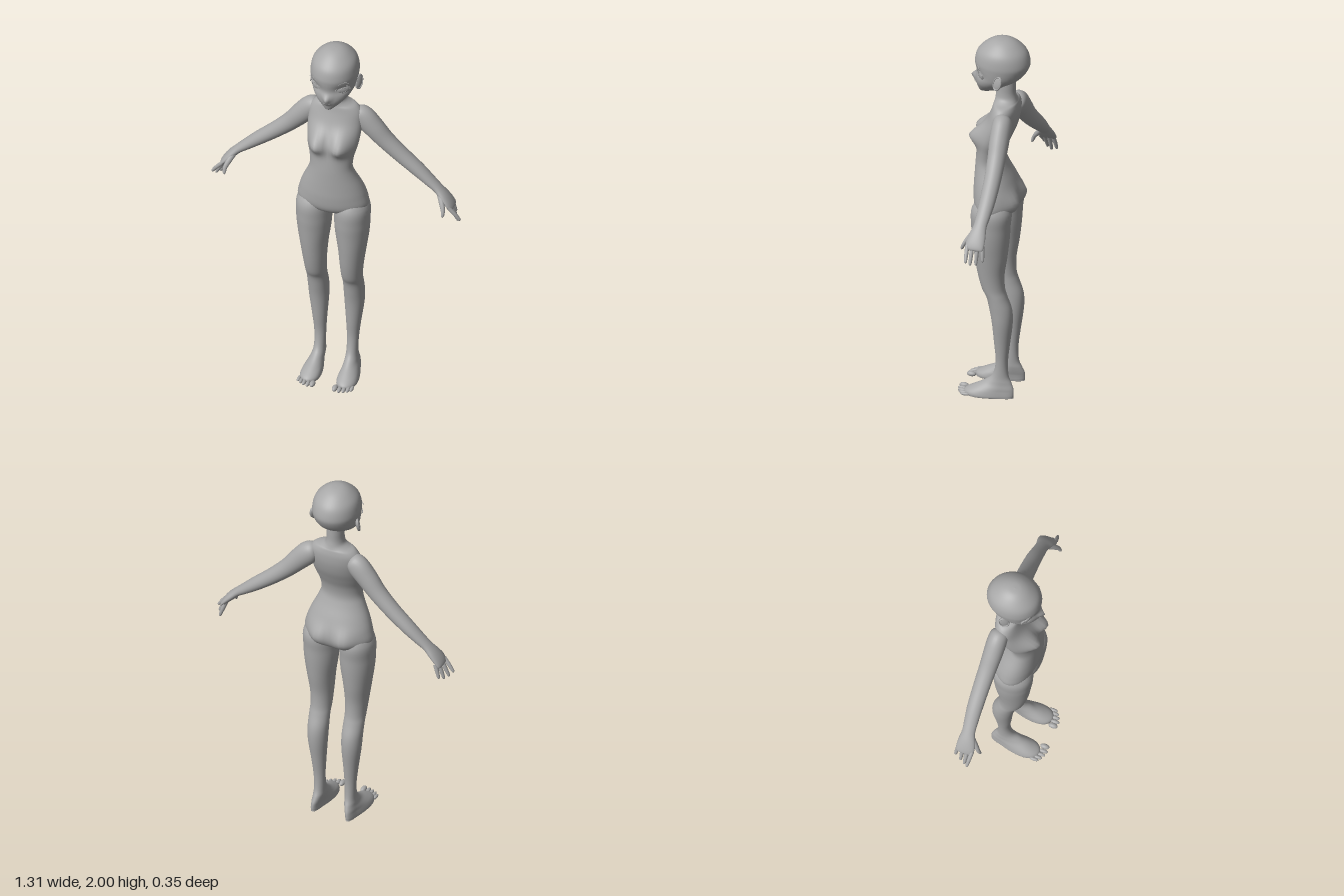
import * as THREE from 'three';

const SIDES = 40;
const bump = (d, w) => Math.exp(-(d * d) / (w * w));

// Smooth interpolation through rows of key numbers
function refine(keys, steps) {
  const rows = [];
  const at = (i) => keys[Math.min(keys.length - 1, Math.max(0, i))];
  for (let i = 0; i < keys.length - 1; i++) {
    for (let k = 0; k < steps; k++) {
      const t = k / steps;
      rows.push(at(i).map((b, n) => {
        const a = at(i - 1)[n], c = at(i + 1)[n], d = at(i + 2)[n];
        return 0.5 * (2 * b + (c - a) * t + (2 * a - 5 * b + 4 * c - d) * t * t + (3 * b - a - 3 * c + d) * t ** 3);
      }));
    }
  }
  rows.push(keys[keys.length - 1]);
  return rows;
}

// Closed skin over rings of points
function skin(rings) {
  const n = rings[0].length, pos = [], index = [];
  rings.forEach((ring) => ring.forEach((p) => pos.push(p[0], p[1], p[2])));
  for (let i = 0; i < rings.length - 1; i++) {
    for (let j = 0; j < n; j++) {
      const k = (j + 1) % n, a = i * n + j, b = i * n + k, c = a + n, d = b + n;
      index.push(a, b, c, b, d, c);
    }
  }
  const g = new THREE.BufferGeometry();
  g.setAttribute('position', new THREE.Float32BufferAttribute(pos, 3));
  g.setIndex(index);
  g.computeVertexNormals();
  return g;
}

// Level sections listed from top to bottom: [y, centreX, radiusX, frontZ, backZ]
function loft(keys, shape = (p) => p) {
  return skin(refine(keys, 5).map(([y, cx, rx, zf, zb]) => Array.from({ length: SIDES }, (_, j) => {
    const a = (j / SIDES) * Math.PI * 2, s = Math.sin(a);
    return shape([cx + rx * Math.cos(a), y, (zf + zb) / 2 + ((zf - zb) / 2) * s], s, cx);
  })));
}

// Limb along a path: [x, y, z, thickness, widthZ]; side is 1 or -1
function limb(keys, side, sides = 20) {
  const rows = refine(keys.map(([x, ...r]) => [x * side, ...r]), 5);
  return skin(rows.map(([x, y, z, rn, rz], i) => {
    const p = rows[Math.max(0, i - 1)], q = rows[Math.min(rows.length - 1, i + 1)];
    const l = Math.hypot(q[0] - p[0], q[1] - p[1]) || 1;
    const ux = -(q[1] - p[1]) / l, uy = (q[0] - p[0]) / l;
    return Array.from({ length: sides }, (_, j) => {
      const a = (j / sides) * Math.PI * 2, c = Math.cos(a) * rn;
      return [x + ux * c, y + uy * c, z + rz * Math.sin(a)];
    });
  }));
}

export function createModel() {
  const model = new THREE.Group();
  const grey = new THREE.MeshStandardMaterial({ color: 0xa8a8a8 });
  grey.name = 'plain grey';
  const add = (name, geometry, parent = model) => {
    const m = new THREE.Mesh(geometry, grey);
    m.name = name;
    parent.add(m);
    return m;
  };
  const ball = (name, r, p, parent = model) => {
    const m = add(name, new THREE.SphereGeometry(1, 20, 14), parent);
    m.scale.set(...r);
    m.position.set(...p);
    return m;
  };

  // Head with nose, lips and eye sockets
  add('head', loft([
    [2.0, 0, 0.001, -0.03, -0.032], [1.996, 0, 0.034, 0.003, -0.068], [1.98, 0, 0.066, 0.038, -0.105],
    [1.95, 0, 0.098, 0.075, -0.142], [1.92, 0, 0.114, 0.097, -0.163], [1.88, 0, 0.121, 0.107, -0.174],
    [1.85, 0, 0.12, 0.106, -0.17], [1.81, 0, 0.114, 0.1, -0.148], [1.78, 0, 0.104, 0.102, -0.118],
    [1.75, 0, 0.084, 0.102, -0.07], [1.72, 0, 0.056, 0.097, -0.03], [1.702, 0, 0.034, 0.092, 0.01],
    [1.69, 0, 0.016, 0.086, 0.045], [1.688, 0, 0.001, 0.07, 0.068],
  ], (p, s) => {
    if (s > 0) {
      const [x, y] = p;
      p[2] += 0.028 * bump(x, 0.016) * bump(y - 1.768, 0.022) + 0.008 * bump(x, 0.02) * bump(y - 1.74, 0.012)
        - 0.012 * bump(Math.abs(x) - 0.068, 0.032) * bump(y - 1.815, 0.028);
    }
    return p;
  }));
  ball('mouth', [0.018, 0.003, 0.005], [0, 1.742, 0.107]);

  // Neck and torso in one skin
  add('torso', loft([
    [1.78, 0, 0.044, -0.005, -0.1], [1.74, 0, 0.044, -0.002, -0.1], [1.7, 0, 0.045, 0, -0.1],
    [1.672, 0, 0.052, 0.002, -0.105], [1.655, 0, 0.075, 0.004, -0.11], [1.642, 0, 0.11, 0.007, -0.115],
    [1.61, 0, 0.135, 0.016, -0.12], [1.56, 0, 0.14, 0.035, -0.117], [1.5, 0, 0.138, 0.062, -0.102],
    [1.44, 0, 0.131, 0.083, -0.077], [1.38, 0, 0.116, 0.094, -0.053], [1.32, 0, 0.11, 0.1, -0.045],
    [1.27, 0, 0.124, 0.103, -0.06], [1.2, 0, 0.155, 0.106, -0.093], [1.14, 0, 0.175, 0.107, -0.113],
    [1.08, 0, 0.183, 0.1, -0.113], [1.045, 0, 0.14, 0.078, -0.1], [1.028, 0, 0.07, 0.04, -0.07],
    [1.025, 0, 0.002, -0.01, -0.02],
  ], (p, s) => {
    const x = Math.abs(p[0]), y = p[1];
    if (s > 0) p[2] += 0.055 * Math.min(1, s * 1.6) * bump(x - 0.062, 0.046) * bump(y - 1.457, y > 1.457 ? 0.06 : 0.047);
    else p[2] -= 0.032 * Math.min(1, -s * 1.6) * bump(x - 0.075, 0.055) * bump(y - 1.095, 0.055);
    return p;
  }));

  for (const side of [1, -1]) {
    const name = side > 0 ? 'left' : 'right';

    // Eye with iris, lash and brow
    const eye = new THREE.Group();
    eye.name = name + 'Eye';
    eye.position.set(0.069 * side, 1.815, 0.058);
    eye.rotation.y = 0.6 * side;
    model.add(eye);
    ball('eyeball', [0.037, 0.025, 0.012], [0, 0, 0], eye);
    add('iris', new THREE.TorusGeometry(0.016, 0.0015, 6, 24), eye).position.z = 0.0115;
    const lash = add('lash', new THREE.TorusGeometry(0.038, 0.003, 6, 24, Math.PI), eye);
    lash.scale.y = 0.68;
    lash.position.z = 0.008;
    const brow = add('brow', new THREE.TorusGeometry(0.05, 0.002, 6, 16, 1.2), eye);
    brow.rotation.z = Math.PI / 2 - 0.6;
    brow.position.set(0, 0, 0.018);

    // Ear with raised rim
    const ear = new THREE.Group();
    ear.name = name + 'Ear';
    ear.position.set(0.12 * side, 1.803, -0.045);
    ear.rotation.set(-0.35, -0.45 * side, 0);
    model.add(ear);
    ball('earShell', [0.009, 0.04, 0.025], [0, 0, 0], ear);
    const rim = add('earRim', new THREE.TorusGeometry(0.036, 0.005, 8, 28), ear);
    rim.rotation.y = Math.PI / 2;
    rim.scale.x = 0.62;
    rim.position.x = 0.004 * side;

    // Arm and palm
    add(name + 'Arm', limb([
      [0.085, 1.6, -0.065, 0.002, 0.002], [0.1, 1.595, -0.068, 0.04, 0.04], [0.135, 1.572, -0.072, 0.058, 0.05],
      [0.19, 1.513, -0.075, 0.055, 0.05], [0.25, 1.445, -0.08, 0.047, 0.046], [0.33, 1.37, -0.085, 0.041, 0.043],
      [0.42, 1.295, -0.087, 0.035, 0.04], [0.48, 1.245, -0.085, 0.028, 0.036], [0.525, 1.208, -0.082, 0.022, 0.034],
      [0.56, 1.172, -0.078, 0.021, 0.044], [0.588, 1.14, -0.076, 0.017, 0.048], [0.605, 1.117, -0.077, 0.011, 0.042],
      [0.608, 1.112, -0.077, 0.001, 0.02],
    ], side, 28));

    // Fingers: [baseZ, tipX, tipY, tipZ]
    [[-0.038, 0.654, 1.06, -0.046], [-0.063, 0.638, 1.042, -0.065], [-0.088, 0.622, 1.038, -0.09],
      [-0.112, 0.608, 1.055, -0.122]].forEach(([z, tx, ty, tz], i) => {
      const bx = 0.594 - i * 0.004, mix = (a, b, t) => a + (b - a) * t;
      const at = (t, r) => [mix(bx, tx, t), mix(1.132, ty, t) + 0.012 * t * (1 - t), mix(z, tz, t), r, r];
      add(name + 'Finger' + (i + 1), limb([at(0, 0.011), at(0.5, 0.0105), at(0.88, 0.008), at(0.97, 0.005), at(1, 0.0005)], side, 12));
    });
    add(name + 'Thumb', limb([
      [0.54, 1.19, -0.06, 0.014, 0.016], [0.56, 1.155, -0.034, 0.014, 0.015], [0.573, 1.125, -0.014, 0.011, 0.011],
      [0.574, 1.1, -0.004, 0.008, 0.008], [0.573, 1.09, -0.001, 0.0005, 0.0005],
    ], side, 12));

    // Leg and foot; the foot widens towards the toes
    add(name + 'Leg', loft([
      [1.15, 0.095, 0.04, 0.04, -0.06], [1.07, 0.1, 0.086, 0.094, -0.107], [0.98, 0.1, 0.09, 0.097, -0.103],
      [0.9, 0.1, 0.085, 0.09, -0.098], [0.8, 0.1, 0.071, 0.08, -0.087], [0.7, 0.097, 0.06, 0.065, -0.072],
      [0.62, 0.095, 0.054, 0.045, -0.073], [0.57, 0.095, 0.053, 0.02, -0.086], [0.5, 0.094, 0.053, 0.005, -0.11],
      [0.42, 0.093, 0.05, -0.008, -0.113], [0.3, 0.089, 0.038, -0.018, -0.098], [0.2, 0.086, 0.03, -0.025, -0.087],
      [0.12, 0.085, 0.029, -0.008, -0.09], [0.08, 0.087, 0.033, 0.035, -0.106], [0.05, 0.092, 0.04, 0.088, -0.118],
      [0.025, 0.095, 0.044, 0.13, -0.12], [0.008, 0.096, 0.045, 0.137, -0.118], [0, 0.096, 0.038, 0.125, -0.108],
      [0, 0.096, 0.001, 0.01, 0.005],
    ].map(([y, x, ...r]) => [Math.max(0, y), x * side, ...r]), (p, s, cx) => {
      const k = THREE.MathUtils.clamp((0.09 - p[1]) / 0.05, 0, 1);
      const wide = THREE.MathUtils.clamp(0.85 + (p[2] + 0.04) * 4.2, 0.75, 1.5);
      p[0] = cx + (p[0] - cx) * (1 + (wide - 1) * k);
      p[1] = Math.max(0, p[1]);
      return p;
    }));

    // Toes from big to little
    [[0.059, 0.15, 0.014], [0.083, 0.151, 0.0105], [0.104, 0.145, 0.01], [0.123, 0.135, 0.0095], [0.139, 0.122, 0.009]]
      .forEach(([x, z, r], i) => ball(name + 'Toe' + (i + 1), [r, r * 0.95, 0.024], [x * side, r * 0.98, z]));
  }
  return model;
}
